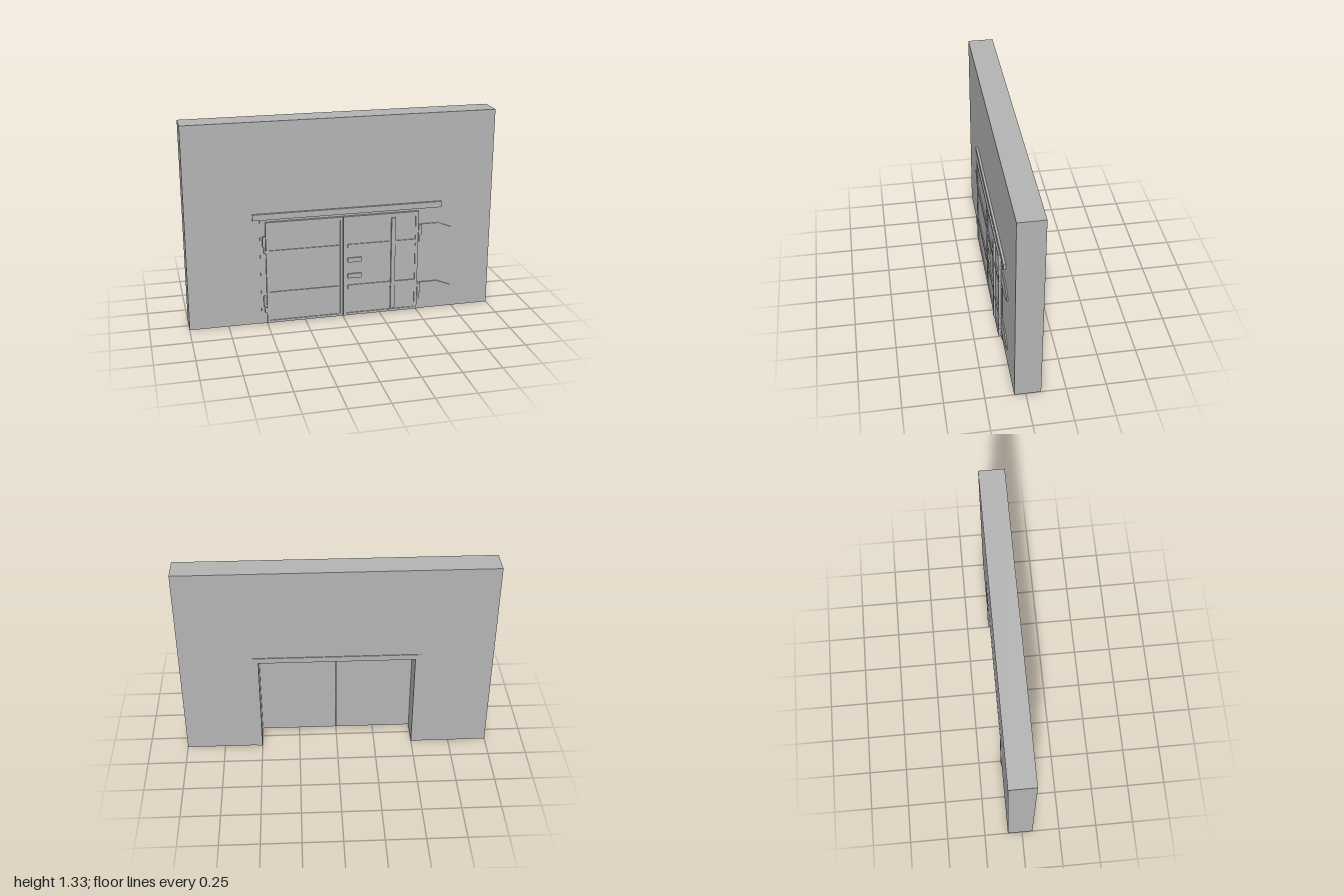
import * as THREE from 'three';

export function createModel() {
  const model = new THREE.Group();
  const grey = new THREE.MeshStandardMaterial({ color: 0xb4b4b4 });
  grey.name = 'concrete grey';

  const add = (name, geometry, parent = model) => {
    const mesh = new THREE.Mesh(geometry, grey);
    mesh.name = name;
    parent.add(mesh);
    return mesh;
  };
  // Box given by its limits on each axis
  const box = (name, x0, x1, y0, y1, z0, z1, parent) => {
    const g = new THREE.BoxGeometry(x1 - x0, y1 - y0, z1 - z0);
    g.translate((x0 + x1) / 2, (y0 + y1) / 2, (z0 + z1) / 2);
    return add(name, g, parent);
  };
  // Outline extruded from z0 to z1
  const plate = (name, points, z0, z1, parent) => {
    const shape = new THREE.Shape(points.map(([x, y]) => new THREE.Vector2(x, y)));
    const g = new THREE.ExtrudeGeometry(shape, { depth: z1 - z0, bevelEnabled: false });
    g.translate(0, 0, z0);
    return add(name, g, parent);
  };
  // Doorway outline: an upside-down U, open at the floor
  const portal = (xo, yo, xi, yi) => [
    [-xo, 0], [-xi, 0], [-xi, yi], [xi, yi], [xi, 0], [xo, 0], [xo, yo], [-xo, yo],
  ];

  // Wall with doorway, and a trim on either face
  plate('wall', portal(1, 1.333, 0.5, 0.68), -0.095, 0.07);
  plate('backTrim', portal(0.535, 0.717, 0.5, 0.68), -0.1, -0.095);
  plate('frontTrim', portal(0.535, 0.712, 0.5, 0.68), 0.07, 0.074);

  // Overhead rail
  box('overheadRail', -0.58, 0.655, 0.707, 0.746, 0.07, 0.085);

  // Two door leaves, each a panel with raised border and cross rails
  for (const side of [-1, 1]) {
    const leaf = new THREE.Group();
    leaf.name = side < 0 ? 'rightLeaf' : 'leftLeaf';
    model.add(leaf);
    const part = (name, a, b, y0, y1, z0, z1) =>
      box(name, Math.min(side * a, side * b), Math.max(side * a, side * b), y0, y1, z0, z1, leaf);

    part('panel', 0.002, 0.5, 0.008, 0.692, 0.07, 0.086);
    part('outerStile', 0.482, 0.5, 0.008, 0.692, 0.086, 0.092);
    part('innerStile', 0.002, 0.02, 0.008, 0.692, 0.086, 0.092);
    part('topBorder', 0.02, 0.482, 0.672, 0.692, 0.086, 0.092);
    part('bottomBorder', 0.02, 0.482, 0.008, 0.024, 0.086, 0.092);
    for (const y of [0.195, 0.477]) part('crossRail', 0.03, 0.482, y, y + 0.026, 0.086, 0.093);

    // Hinges: knuckle and a narrower pin below it
    for (const y of [0.08, 0.485]) {
      part('hingeKnuckle', 0.502, 0.521, y + 0.045, y + 0.113, 0.074, 0.095);
      part('hingePin', 0.502, 0.514, y, y + 0.045, 0.074, 0.092);
    }
  }

  // Upright locking bar and handles on the +x leaf
  box('lockingBar', 0.318, 0.345, 0.03, 0.662, 0.086, 0.1);
  for (const y of [0.27, 0.38]) box('handle', 0.03, 0.12, y, y + 0.03, 0.086, 0.096);

  // Tapered hinge straps on the wall
  for (const y of [0.135, 0.543]) {
    plate('hingeStrap', [
      [0.515, y - 0.056], [0.64, y - 0.056], [0.735, y - 0.018],
      [0.735, y + 0.018], [0.64, y + 0.056], [0.515, y + 0.056],
    ], 0.07, 0.078);
  }
  return model;
}
